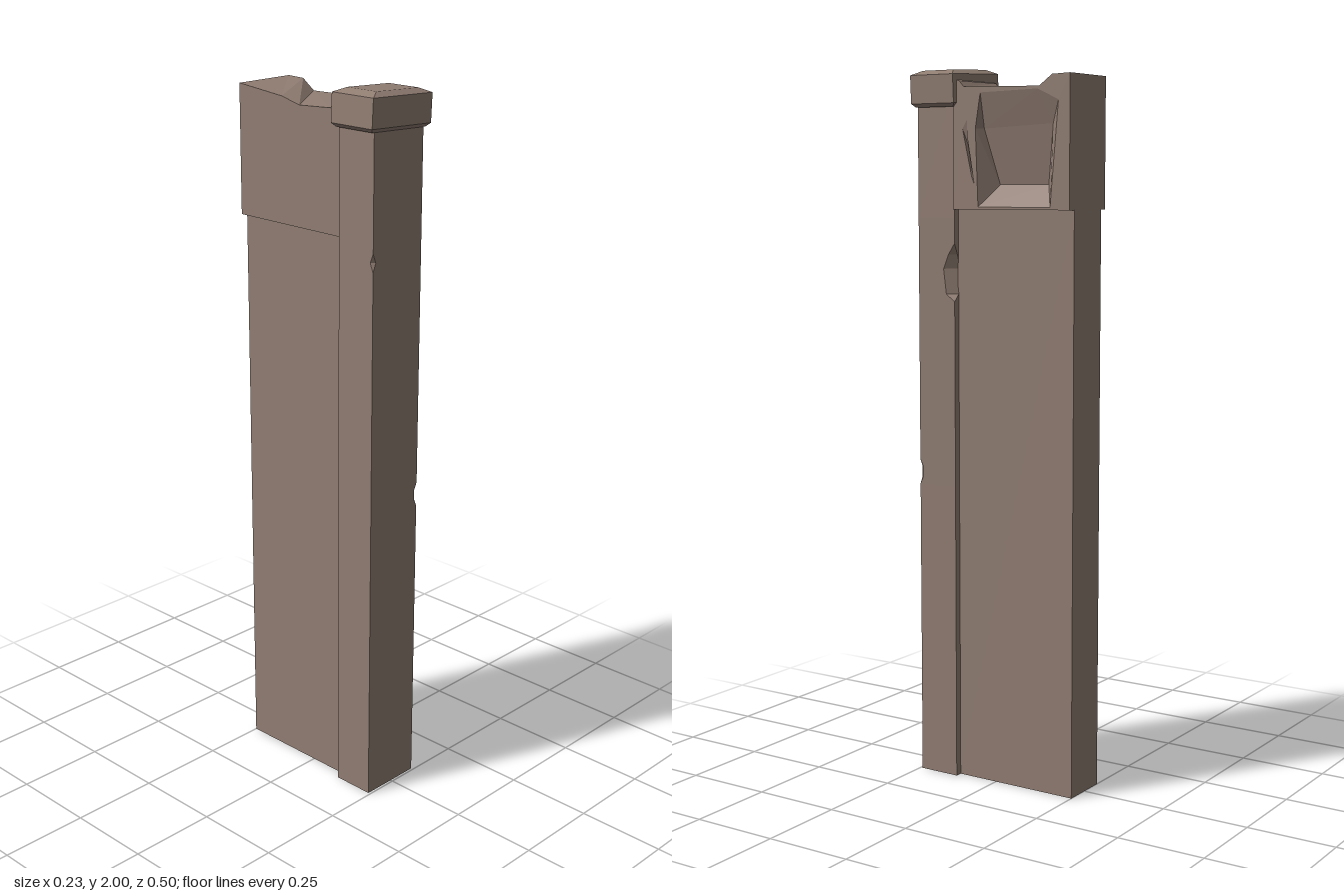
import * as THREE from 'three';

const stone = new THREE.MeshStandardMaterial({ color: 0x917e73, flatShading: true });
stone.name = 'brown stone';

// Flat-shaded mesh from a list of polygons, each fanned into triangles
function facetMesh(name, polys) {
  const pos = [];
  for (const p of polys) {
    for (let i = 1; i < p.length - 1; i++) pos.push(...p[0], ...p[i], ...p[i + 1]);
  }
  const g = new THREE.BufferGeometry();
  g.setAttribute('position', new THREE.Float32BufferAttribute(pos, 3));
  g.computeVertexNormals();
  const mesh = new THREE.Mesh(g, stone);
  mesh.name = name;
  return mesh;
}

// Closed skin over stacked rings (front left corner first, then anticlockwise from above)
function stack(rings) {
  const polys = [[...rings[0]].reverse(), rings[rings.length - 1]];
  for (let k = 0; k < rings.length - 1; k++) {
    const a = rings[k], b = rings[k + 1], n = a.length;
    for (let i = 0; i < n; i++) {
      const j = (i + 1) % n;
      polys.push([a[i], a[j], b[j], b[i]]);
    }
  }
  return polys;
}

// Side wall at a given x from [z, y] outlines, facing +x or -x
function wall(x, dir, outline, holes = []) {
  const flat = (l) => l.map(([z, y]) => new THREE.Vector2(-dir * z, y));
  const all = [outline, ...holes].flat();
  return THREE.ShapeUtils.triangulateShape(flat(outline), holes.map(flat))
    .map((t) => t.map((i) => [x, all[i][1], all[i][0]]));
}

// Front post: a square column with chips broken out of three corners
function post() {
  const x0 = -0.095, x1 = 0.09, z0 = 0.122, z1 = 0.243;
  // y, front left cut, front right cut, back right cut
  const sections = [
    [0, 0, 0, 0], [0.84, 0, 0, 0], [0.86, 0, 0.01, 0], [0.89, 0, 0.01, 0], [0.91, 0, 0, 0],
    [1.36, 0, 0, 0], [1.38, 0, 0, 0.028], [1.45, 0, 0, 0.037], [1.49, 0, 0, 0.02],
    [1.52, 0, 0, 0], [1.54, 0, 0, 0], [1.565, 0.01, 0, 0], [1.59, 0, 0, 0], [1.955, 0, 0, 0],
  ];
  return facetMesh('frontPost', stack(sections.map(([y, l, r, b]) => [
    [x0, y, z1 - l], [x0 + l, y, z1], [x1 - r, y, z1], [x1, y, z1 - r],
    [x1, y, z0 + b], [x1 - b * 0.7, y, z0], [x0, y, z0],
  ])));
}

// Cap: chamfered block, slightly tilted
function cap() {
  const sections = [[-0.05, 0.1, 0.062], [-0.04, 0.111, 0.071], [0.037, 0.111, 0.071], [0.049, 0.078, 0.05]];
  const mesh = facetMesh('postCap', stack(sections.map(([y, x, z]) =>
    [[-x, y, z], [x, y, z], [x, y, -z], [-x, y, -z]])));
  mesh.position.set(0, 1.945, 0.181);
  mesh.rotation.z = -0.05;
  return mesh;
}

// Upper block: uneven broken top, with a bite and a crack in its left side
function upperBlock() {
  const x0 = -0.09, x1 = 0.095, zf = 0.122, zb = -0.25, y0 = 1.613;
  const topA = [[zf, 1.965], [0.105, 1.96], [0.086, 1.942], [-0.025, 1.936], [-0.09, 1.952], [zb, 1.968]];
  const topB = [[zf, 1.965], [0.1, 1.958], [0.086, 1.942], [-0.155, 1.937], [-0.195, 1.966], [zb, 1.968]];
  const at = (x) => ([z, y]) => [x, y, z];
  const L = topA.map(at(x0)), R = topB.map(at(x1)), end = L.length - 1;
  const polys = [];
  for (let i = 0; i < end; i++) polys.push([L[i], R[i], R[i + 1], L[i + 1]]);

  // Ends and underside
  polys.push(
    [[x0, y0, zf], [x1, y0, zf], R[0], L[0]],
    [[x1, y0, zb], [x0, y0, zb], L[end], R[end]],
    [[x0, y0, zf], [x0, y0, zb], [x1, y0, zb], [x1, y0, zf]],
  );

  // Side walls
  const bite = [[0.032, 1.925], [0.048, 1.83], [0.04, 1.62], [-0.19, 1.62], [-0.215, 1.9], [-0.15, 1.93]];
  const crack = [[0.09, 1.83], [0.06, 1.7], [0.052, 1.68], [0.075, 1.81], [0.075, 1.855]];
  const base = [[zb, y0], [zf, y0]];
  polys.push(...wall(x0, -1, [...base, ...topA]));
  polys.push(...wall(x1, 1, [...base, ...topB], [bite, crack]));

  // Inside of the bite: sloping back, side walls and ledge
  const [A, B, C, D, E, F] = bite.map(at(x1));
  const b = [0.072, 1.83, 0.034], c = [0.045, 1.68, 0], d = [0.045, 1.68, -0.155], e = [0.072, 1.84, -0.185];
  polys.push([A, b, F], [b, e, F], [b, c, d, e], [A, B, b], [B, C, c, b],
    [C, D, d, c], [F, e, E], [D, E, e, d]);

  // Inside of the crack
  const rim = crack.map(at(x1)), deep = [0.083, 1.77, 0.072];
  rim.forEach((p, i) => polys.push([p, rim[(i + 1) % rim.length], deep]));
  return facetMesh('upperBlock', polys);
}

export function createModel() {
  const group = new THREE.Group();
  group.name = 'stoneWallEnd';

  // Recessed wall panel behind the post
  const panel = new THREE.Mesh(new THREE.BoxGeometry(0.14, 1.615, 0.375), stone);
  panel.name = 'recessedPanel';
  panel.position.set(0, 0.8075, -0.0625);

  group.add(panel, post(), cap(), upperBlock());
  return group;
}
